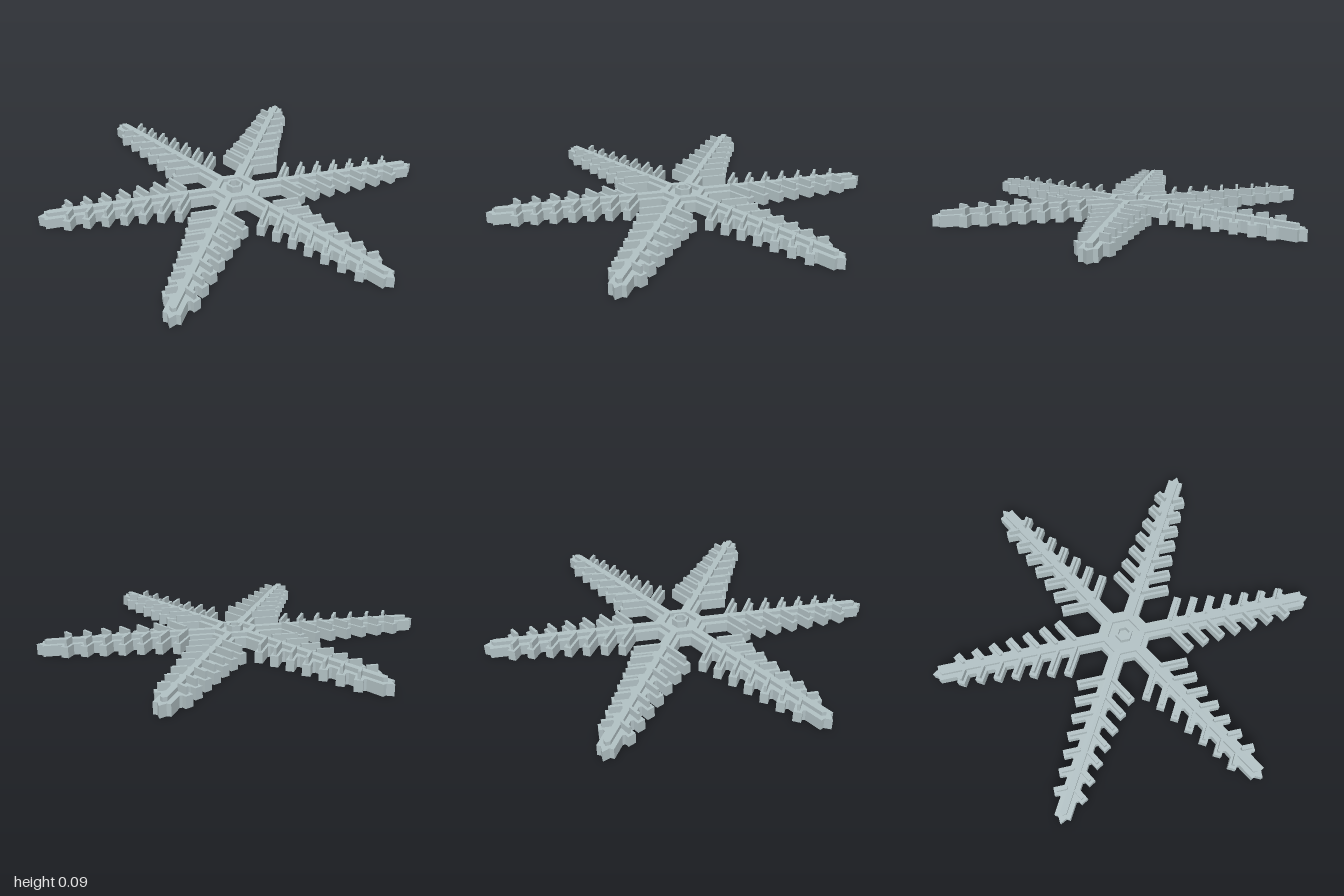
import * as THREE from 'three';

const S60 = Math.sin(Math.PI / 3);
const ARM_HALF = 0.04, BRANCH_HALF = 0.02;
const BASE_TOP = 0.055, RIDGE_TOP = 0.075, BRANCH_TOP = 0.09;
// Branches: distance of the root from the centre and length, shrinking outwards
const LENGTHS = [0.168, 0.148, 0.133, 0.121, 0.109, 0.098, 0.09];
const BRANCHES = LENGTHS.map((length, i) => ({ root: 0.242 + i * 0.0967, length }));

// One side of an arm from hub to tip, as [along, across]
function armSide() {
  const pts = [[0.127, ARM_HALF]];
  for (const { root, length } of BRANCHES) {
    pts.push([root, ARM_HALF]);
    pts.push([root + length / 2 - BRANCH_HALF * S60, length * S60 + BRANCH_HALF / 2]);
    pts.push([root + length / 2 + BRANCH_HALF * S60, length * S60 - BRANCH_HALF / 2]);
    // chamfered inner corner
    pts.push([root + 0.052, ARM_HALF + 0.01], [root + 0.06, ARM_HALF]);
  }
  pts.push([0.97, ARM_HALF], [0.97, 0.02]);
  return pts;
}

function turn([a, c], angle) {
  const cos = Math.cos(angle), sin = Math.sin(angle);
  return new THREE.Vector2(a * cos - c * sin, a * sin + c * cos);
}

function hexagon(radius) {
  return [0, 1, 2, 3, 4, 5].map(k => turn([radius, 0], Math.PI / 6 + k * Math.PI / 3));
}

// Upright prism from a flat outline
function prism(name, outline, bottom, top, material, hole) {
  const shape = new THREE.Shape(outline);
  if (hole) shape.holes.push(new THREE.Path(hole));
  const geo = new THREE.ExtrudeGeometry(shape, { depth: top - bottom, bevelEnabled: false });
  geo.rotateX(-Math.PI / 2).translate(0, bottom, 0);
  const mesh = new THREE.Mesh(geo, material);
  mesh.name = name;
  return mesh;
}

export function createModel() {
  const model = new THREE.Group();
  model.name = 'snowflake';
  const ice = new THREE.MeshStandardMaterial({ color: 0xb0bfc2 });
  ice.name = 'ice grey';

  // Base slab: the whole six-armed outline
  const side = armSide();
  const arm = [...side.map(([a, c]) => [a, -c]), [1, 0], ...side.slice().reverse()];
  const outline = [];
  for (let k = 0; k < 6; k++) {
    outline.push(...arm.map(p => turn(p, Math.PI / 6 + k * Math.PI / 3)));
  }
  model.add(prism('baseSlab', outline, 0, BASE_TOP, ice));

  // Raised ridges along each arm and its branches
  const low = BASE_TOP - 0.01;
  for (let k = 0; k < 6; k++) {
    const angle = Math.PI / 6 + k * Math.PI / 3;
    const w = 0.016;
    const spine = [[0.09, -w], [0.95, -w], [0.962, 0], [0.95, w], [0.09, w]];
    model.add(prism('armRidge', spine.map(p => turn(p, angle)), low, RIDGE_TOP, ice));
    for (const { root, length } of BRANCHES) {
      for (const s of [-1, 1]) {
        const h = 0.007;
        const strip = [[0.022, -h], [length - 0.014, -h], [length - 0.014, h], [0.022, h]];
        const pts = strip.map(p => {
          const v = turn(p, s * Math.PI / 3);
          return turn([v.x + root, v.y], angle);
        });
        model.add(prism('branchRidge', pts, low, BRANCH_TOP, ice));
      }
    }
  }

  // Hub: raised hexagonal ring and a small ring in the middle
  model.add(prism('hubRing', hexagon(0.118), low, RIDGE_TOP, ice, hexagon(0.085)));
  model.add(prism('centreRing', hexagon(0.045), low, BRANCH_TOP, ice, hexagon(0.03)));
  return model;
}
